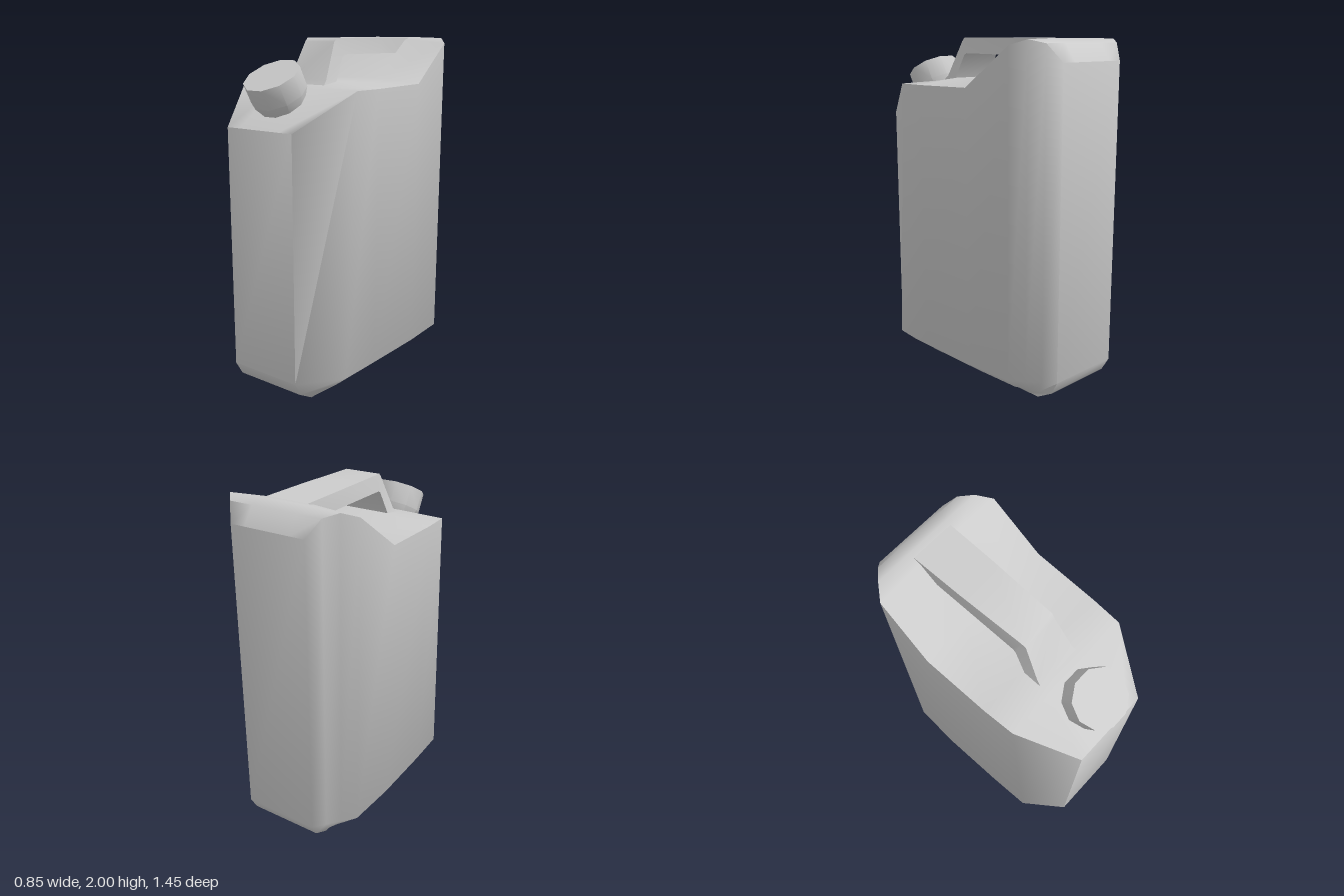
import * as THREE from 'three';
import { toCreasedNormals } from 'three/addons/utils/BufferGeometryUtils.js';

const material = new THREE.MeshStandardMaterial({ color: 0xcccccc });

// Adds quads between successive rows of points
function skin(out, rows, closed) {
  for (let i = 0; i < rows.length - 1; i++) {
    const n = rows[i].length;
    for (let j = 0; j < (closed ? n : n - 1); j++) {
      const k = (j + 1) % n;
      const a = rows[i][j], b = rows[i][k], c = rows[i + 1][k], d = rows[i + 1][j];
      out.push(...a, ...b, ...c, ...a, ...c, ...d);
    }
  }
}

function makeMesh(name, positions, crease) {
  const g = new THREE.BufferGeometry();
  g.setAttribute('position', new THREE.Float32BufferAttribute(positions, 3));
  const mesh = new THREE.Mesh(toCreasedNormals(g, crease), material);
  mesh.name = name;
  return mesh;
}

// Tank outline, front to back: x, z at base, z at top, y of rim, crown height
const outline = [
  [0.23, 0.70, 0.70, 1.53, 0],
  [0.41, 0.47, 0.38, 1.735, 0.005],
  [0.42, 0.20, 0.20, 1.735, 0.03],
  [0.425, -0.20, -0.20, 1.74, 0.02],
  [0.41, -0.51, -0.51, 1.965, 0.02],
  [0.345, -0.585, -0.585, 1.995, 0.005],
  [0.285, -0.655, -0.655, 1.975, 0],
  [0.23, -0.722, -0.722, 1.88, 0],
];

function makeTank() {
  const out = [];
  const mirror = (half) => [...half, ...half.map(([x, y, z]) => [-x, y, z]).reverse()];

  // Chamfered base: blend from inset floor to full outline
  const baseRing = (y, tx, tz) => mirror(outline.map(([x, z]) => [
    THREE.MathUtils.lerp(Math.min(x, 0.22), x, tx), y, z * THREE.MathUtils.lerp(0.79, 1, tz)]));
  const floor = baseRing(0, 0, 0);
  const rim = mirror(outline.map(([x, , z, y]) => [x, y, z]));
  skin(out, [floor, baseRing(0.06, 0.48, 0.7), baseRing(0.14, 0.96, 1), rim], true);

  // Floor strips
  const n = outline.length;
  skin(out, outline.map((_, i) => [floor[i], floor[2 * n - 1 - i]]), false);

  // Slightly crowned top, rising to the rear hump
  skin(out, outline.map(([x, , z, y, crown]) => [
    [-x, y, z], [-0.14, y + crown, z], [0.14, y + crown, z], [x, y, z]]), false);
  return makeMesh('tank', out, 1.1);
}

// Grip sections: outer z, y; inner z, y; outer and inner half width
function makeHandle() {
  const sections = [
    [0.37, 1.70, 0.23, 1.72, 0.15, 0.155],
    [0.29, 1.775, 0.21, 1.765, 0.13, 0.14],
    [0.185, 1.98, 0.14, 1.90, 0.105, 0.13],
    [0.16, 2.0, 0.12, 1.91, 0.11, 0.13],
    [-0.25, 2.0, -0.25, 1.907, 0.125, 0.13],
    [-0.55, 1.998, -0.41, 1.905, 0.13, 0.13],
  ];
  const out = [];
  skin(out, sections.map(([zo, yo, zi, yi, wo, wi]) => [
    [-wo, yo, zo], [wo, yo, zo], [wi, yi, zi], [-wi, yi, zi]]), true);
  return makeMesh('handle', out, 1.1);
}

// Ten-sided cap tapering to the neck, tilted forward
function makeCap() {
  const profile = [[0, -0.19], [0.125, -0.19], [0.16, -0.12], [0.16, 0], [0, 0]]
    .map(([r, y]) => new THREE.Vector2(r, y));
  const g = new THREE.LatheGeometry(profile, 10, Math.PI / 2);
  const mesh = new THREE.Mesh(toCreasedNormals(g, 0.75), material);
  mesh.name = 'cap';
  mesh.position.set(0, 1.812, 0.592);
  mesh.rotation.x = THREE.MathUtils.degToRad(29);
  return mesh;
}

export function createModel() {
  const group = new THREE.Group();
  group.name = 'canister';
  group.add(makeTank(), makeHandle(), makeCap());
  return group;
}
